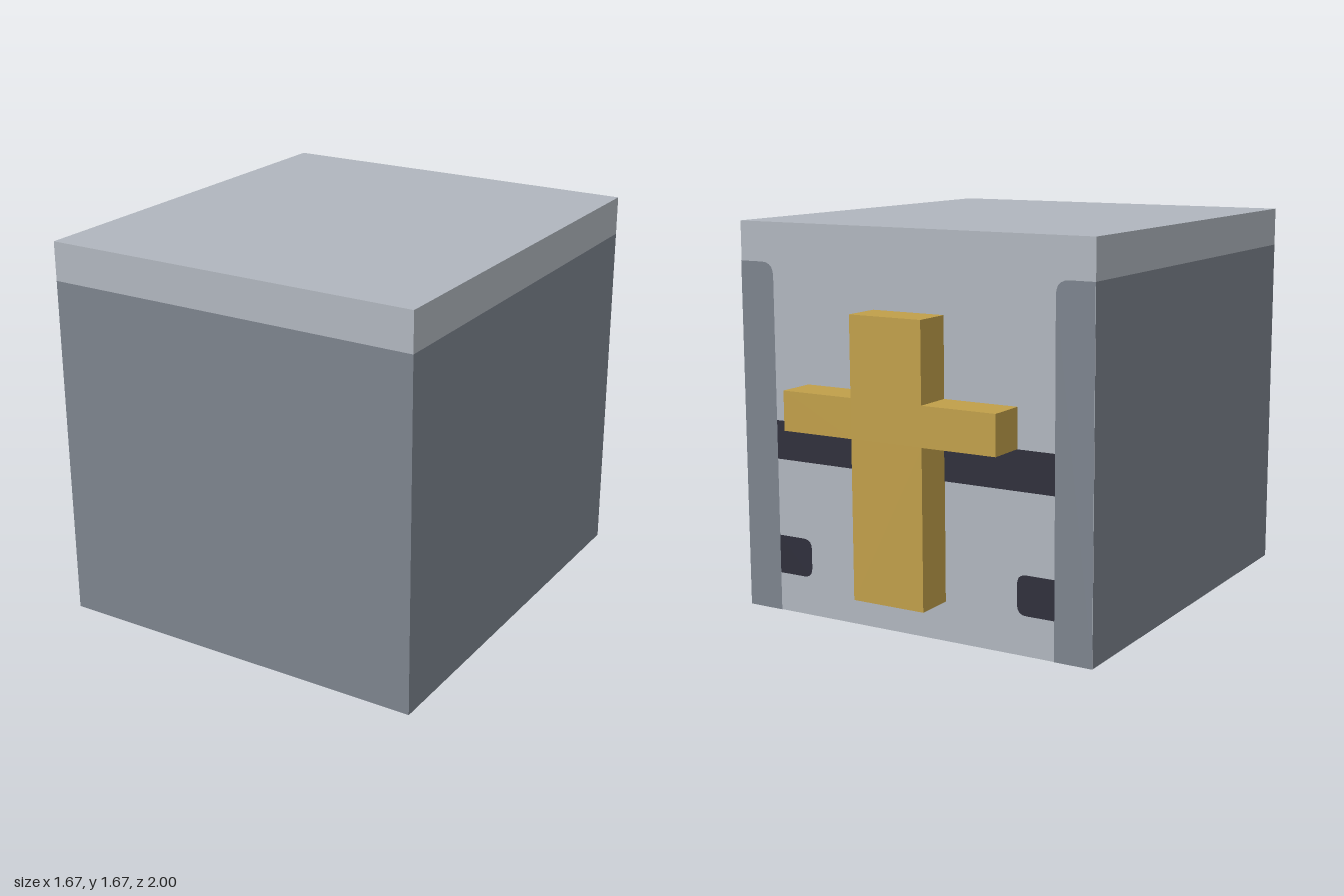
import * as THREE from 'three';

const U = 1 / 6; // one modelling unit; walls are one unit thick
const material = (name, color) => {
  const m = new THREE.MeshStandardMaterial({ color });
  m.name = name;
  return m;
};

export function createModel() {
  const model = new THREE.Group();
  const light = material('light steel', 0xb0b6be);
  const dark = material('dark steel', 0x7c838d);
  const gold = material('gold', 0xc09f4a);
  const black = material('slot black', 0x2f2f3b);

  const add = (name, geometry, mat) => {
    const mesh = new THREE.Mesh(geometry, mat);
    mesh.name = name;
    model.add(mesh);
    return mesh;
  };

  // Flat panel of w x h units, centred at (x, y, z) units, facing one axis
  const turns = {
    '+z': [0, 0], '-z': [0, Math.PI], '+x': [0, Math.PI / 2],
    '-x': [0, -Math.PI / 2], '+y': [-Math.PI / 2, 0], '-y': [Math.PI / 2, 0],
  };
  const panel = (name, mat, facing, w, h, x, y, z) => {
    const g = new THREE.PlaneGeometry(w * U, h * U);
    g.rotateX(turns[facing][0]).rotateY(turns[facing][1]);
    g.translate(x * U, y * U, z * U);
    add(name, g, mat);
  };

  // Light cap: top, ceiling and band
  panel('capTop', light, '+y', 10, 11, 0, 10, 0.5);
  panel('capCeiling', light, '-y', 8, 9, 0, 9, 0.5);
  panel('frontBand', light, '+z', 10, 1, 0, 9.5, 6);

  // Front wall, inside and out, with its rim
  panel('frontWall', dark, '+z', 10, 9, 0, 4.5, 6);
  panel('frontInnerWall', dark, '-z', 8, 9, 0, 4.5, 5);
  panel('frontRim', dark, '-y', 8, 1, 0, 0, 5.5);

  // Side walls
  for (const [side, s, out, inward] of [['left', 1, '+x', '-x'], ['right', -1, '-x', '+x']]) {
    panel(side + 'Band', light, out, 11, 1, s * 5, 9.5, 0.5);
    panel(side + 'Wall', dark, out, 11, 9, s * 5, 4.5, 0.5);
    panel(side + 'InnerWall', dark, inward, 9, 9, s * 4, 4.5, 0.5);
    panel(side + 'Rim', dark, '-y', 1, 11, s * 4.5, 0, 0.5);
  }

  // Back face plate
  panel('facePlate', light, '-z', 10, 10, 0, 5, -5);
  panel('faceInnerWall', light, '+z', 8, 9, 0, 4.5, -4);
  panel('faceRim', light, '-y', 8, 1, 0, 0, -4.5);

  // Painted shape on the face plate, outer edge square, inner corners rounded
  const painted = (name, mat, s, inner, outer, y0, y1, rTop, rBottom) => {
    const p = new THREE.Shape();
    p.moveTo(s * outer, y0);
    p.lineTo(s * outer, y1);
    p.lineTo(s * (inner + rTop), y1);
    p.quadraticCurveTo(s * inner, y1, s * inner, y1 - rTop);
    p.lineTo(s * inner, y0 + rBottom);
    if (rBottom) p.quadraticCurveTo(s * inner, y0, s * (inner + rBottom), y0);
    const g = new THREE.ShapeGeometry(p, 5);
    g.scale(U, U, U).rotateY(Math.PI).translate(0, 0, -5 * U - 0.003);
    add(name, g, mat);
  };
  for (const [side, s] of [['left', -1], ['right', 1]]) {
    painted(side + 'CheekStrip', dark, s, 4, 5, 0, 9, 0.35, 0);
    painted(side + 'BreathHole', black, s, 3, 4, 1, 2, 0.25, 0.25);
  }
  panel('eyeSlot', black, '-z', 8, 1, 0, 4.5, -5.018);

  // Raised gold cross
  const half = [[1, 1], [1, 5], [3, 5], [3, 6], [1, 6], [1, 8]];
  const outline = [...half, ...half.map(([x, y]) => [-x, y]).reverse()];
  const cross = new THREE.ExtrudeGeometry(
    new THREE.Shape(outline.map(([x, y]) => new THREE.Vector2(x * U, y * U))),
    { depth: U, bevelEnabled: false });
  add('cross', cross, gold).position.z = -6 * U;

  return model;
}
